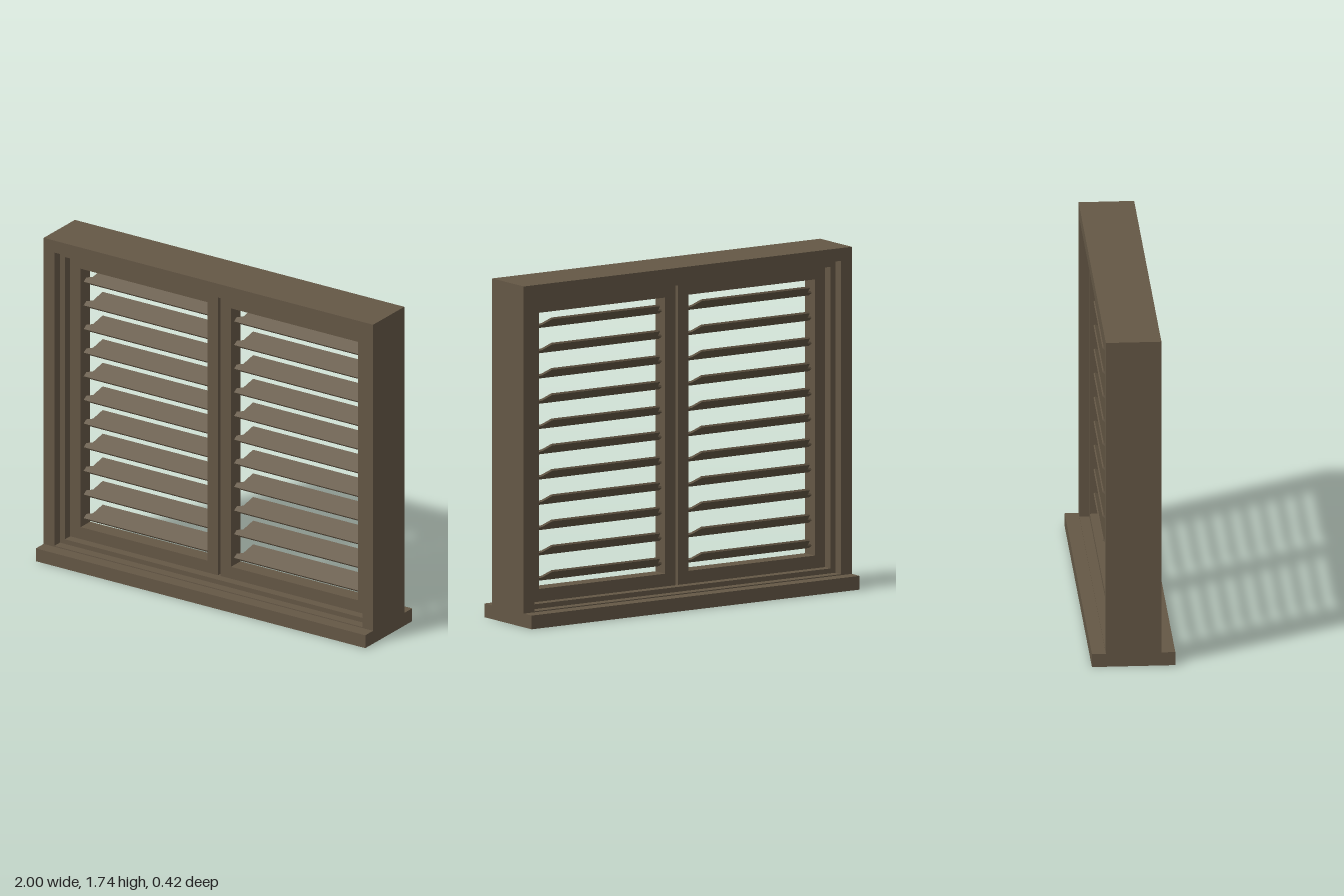
import * as THREE from 'three';

const wood = new THREE.MeshStandardMaterial({ color: 0x645745 });
wood.name = 'dark brown wood';

// Rectangular ring in the xy plane, centred in depth on z = 0
function ring(name, x0, x1, y0, y1, ix0, ix1, iy0, iy1, depth) {
  const rect = (S, a, b, c, d) => {
    const s = new S();
    s.moveTo(a, c).lineTo(b, c).lineTo(b, d).lineTo(a, d).closePath();
    return s;
  };
  const shape = rect(THREE.Shape, x0, x1, y0, y1);
  shape.holes.push(rect(THREE.Path, ix0, ix1, iy0, iy1));
  const geo = new THREE.ExtrudeGeometry(shape, { depth, bevelEnabled: false });
  geo.translate(0, 0, -depth / 2);
  const mesh = new THREE.Mesh(geo, wood);
  mesh.name = name;
  return mesh;
}

// Slat outline seen from above: full width at the front, narrowed at the back
function slatGeometry() {
  const half = [[0.385, 0], [0.385, 0.028], [0.352, 0.042], [0.33, 0.105]];
  const pts = [...half, ...half.slice().reverse().map(([x, d]) => [-x, d])];
  const shape = new THREE.Shape(pts.map(([x, d]) => new THREE.Vector2(x, d)));
  const geo = new THREE.ExtrudeGeometry(shape, { depth: 0.01, bevelEnabled: false });
  geo.rotateX(-Math.PI / 2); // outline depth now runs to -z
  geo.rotateX(0.56);         // back edge tilted up
  return geo;
}

export function createModel() {
  const model = new THREE.Group();
  model.name = 'shutteredWindow';

  // Sill
  const sill = new THREE.Mesh(new THREE.BoxGeometry(2, 0.07, 0.42), wood);
  sill.name = 'sill';
  sill.position.y = 0.035;
  model.add(sill);

  // Deep outer frame with a narrower stop inside it
  model.add(ring('outerFrame', -1, 1, 0.07, 1.74, -0.935, 0.935, 0.075, 1.675, 0.28));
  model.add(ring('frameStop', -0.935, 0.935, 0.07, 1.675, -0.905, 0.905, 0.1, 1.64, 0.18));

  // Pair of louvred shutters
  const slatGeo = slatGeometry();
  for (const side of [-1, 1]) {
    const shutter = new THREE.Group();
    shutter.name = side > 0 ? 'leftShutter' : 'rightShutter';
    shutter.position.x = side * 0.4565;
    shutter.add(ring('shutterFrame', -0.4485, 0.4485, 0.1, 1.64, -0.385, 0.385, 0.165, 1.575, 0.085));
    for (let i = 0; i < 11; i++) {
      const slat = new THREE.Mesh(slatGeo, wood);
      slat.name = 'slat';
      slat.position.set(0, 0.196 + i * 0.129, 0.01);
      shutter.add(slat);
    }
    model.add(shutter);
  }
  return model;
}
